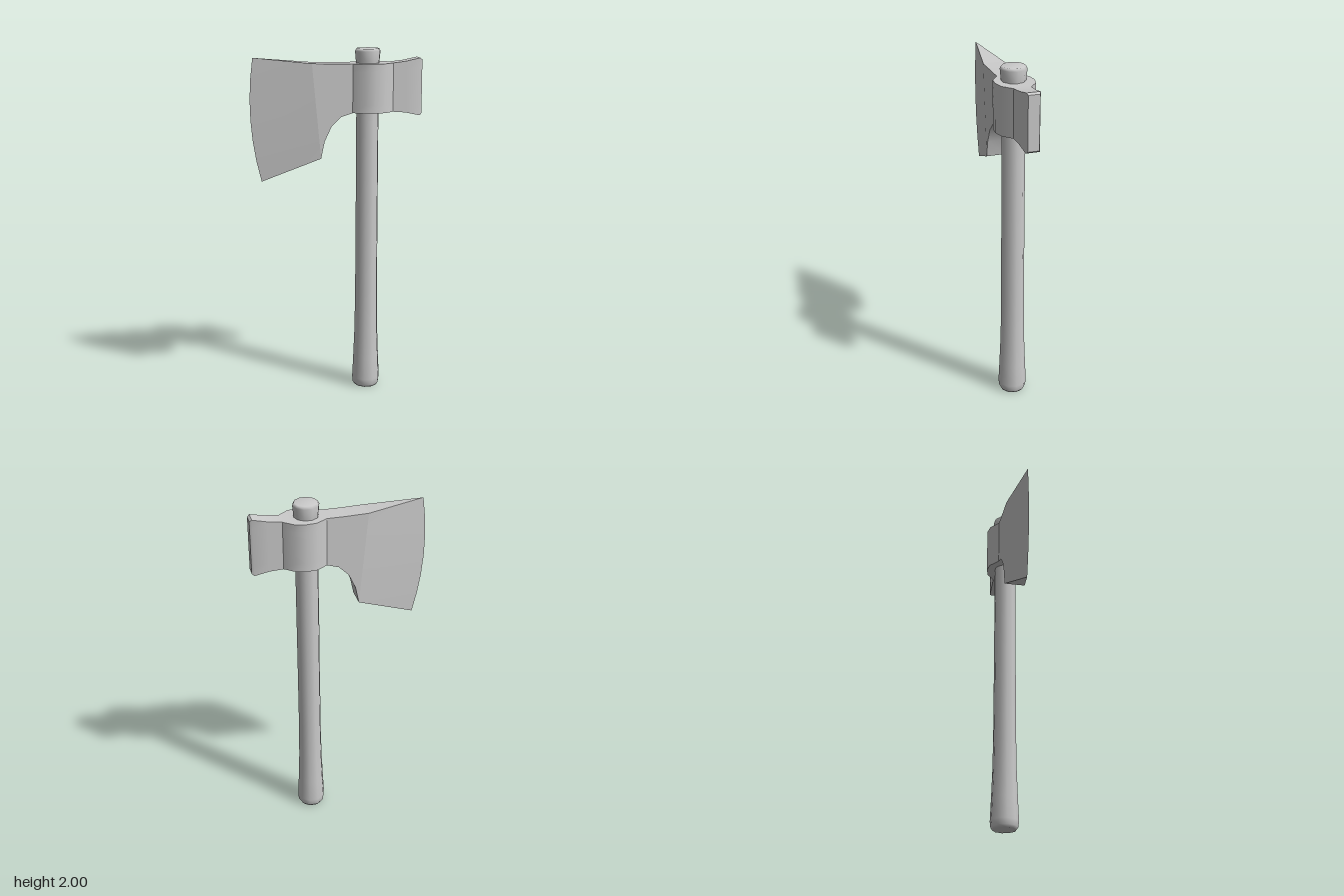
import * as THREE from 'three';
import { toCreasedNormals } from 'three/addons/utils/BufferGeometryUtils.js';

const ROWS = 6;

// Skin over upright columns running along x: [bottomX, bottomY, topX, topY, halfThickness, bow]
function loft(columns, capEnd, crease) {
  const rings = columns.map(([bx, by, tx, ty, h, bow = 0]) => {
    const front = [];
    for (let r = 0; r <= ROWS; r++) {
      const t = r / ROWS;
      front.push(new THREE.Vector3(bx + (tx - bx) * t + bow * 4 * t * (1 - t), by + (ty - by) * t, h));
    }
    const back = front.map(p => new THREE.Vector3(p.x, p.y, -h)).reverse();
    return [...front, ...back];
  });
  const pos = [];
  const tri = (a, b, c) => {
    if (a.equals(b) || b.equals(c) || c.equals(a)) return;
    for (const p of [a, b, c]) pos.push(p.x, p.y, p.z);
  };
  const quad = (a, b, c, d) => { tri(a, b, c); tri(a, c, d); };
  const n = 2 * (ROWS + 1);
  for (let i = 0; i < rings.length - 1; i++) {
    const A = rings[i], B = rings[i + 1];
    for (let j = 0; j < n; j++) {
      const k = (j + 1) % n;
      quad(A[j], B[j], B[k], A[k]);
    }
  }
  if (capEnd) {
    const E = rings[rings.length - 1];
    for (let j = 0; j < ROWS; j++) quad(E[j], E[n - 1 - j], E[n - 2 - j], E[j + 1]);
  }
  const geo = new THREE.BufferGeometry();
  geo.setAttribute('position', new THREE.Float32BufferAttribute(pos, 3));
  return toCreasedNormals(geo, crease);
}

export function createModel() {
  const group = new THREE.Group();
  const mat = new THREE.MeshStandardMaterial({ color: 0xcccccc });
  const add = (name, geo) => {
    const mesh = new THREE.Mesh(geo, mat);
    mesh.name = name;
    group.add(mesh);
    return mesh;
  };

  // Ten-sided handle with a swollen grip end and a flared top
  const profile = [
    [0, 0], [0.068, 0], [0.078, 0.015], [0.082, 0.05], [0.076, 0.18], [0.069, 0.36], [0.066, 0.6],
    [0.065, 1.0], [0.064, 1.9], [0.068, 1.93], [0.073, 1.985], [0.065, 2], [0, 2],
  ].map(p => new THREE.Vector2(...p));
  const handle = add('handle', new THREE.LatheGeometry(profile, 10));
  handle.rotation.y = Math.PI / 2;
  handle.position.x = 0.178;

  // Wedge from the bowed cutting edge to the full thickness of the head
  const shoulder = [-0.1, 1.395, -0.15, 1.925, 0.06];
  add('blade', loft([[-0.43, 1.265, -0.47, 1.957, 0, -0.037], shoulder], false, 0.6));

  // Cheek with the curved beard, the eye swelling round the handle, then the poll
  add('headBody', loft([
    shoulder,
    [-0.08, 1.49, -0.09, 1.923, 0.06],
    [-0.04, 1.575, -0.04, 1.921, 0.06],
    [0.015, 1.627, 0.015, 1.92, 0.06],
    [0.08, 1.647, 0.08, 1.92, 0.06],
    [0.14, 1.647, 0.14, 1.92, 0.103],
    [0.2, 1.647, 0.2, 1.92, 0.11],
    [0.26, 1.647, 0.26, 1.92, 0.095],
    [0.315, 1.647, 0.315, 1.92, 0.048],
    [0.39, 1.64, 0.39, 1.928, 0.043],
    [0.473, 1.621, 0.473, 1.945, 0.039],
    [0.486, 1.632, 0.486, 1.935, 0.032],
  ], true, 0.62));

  return group;
}
